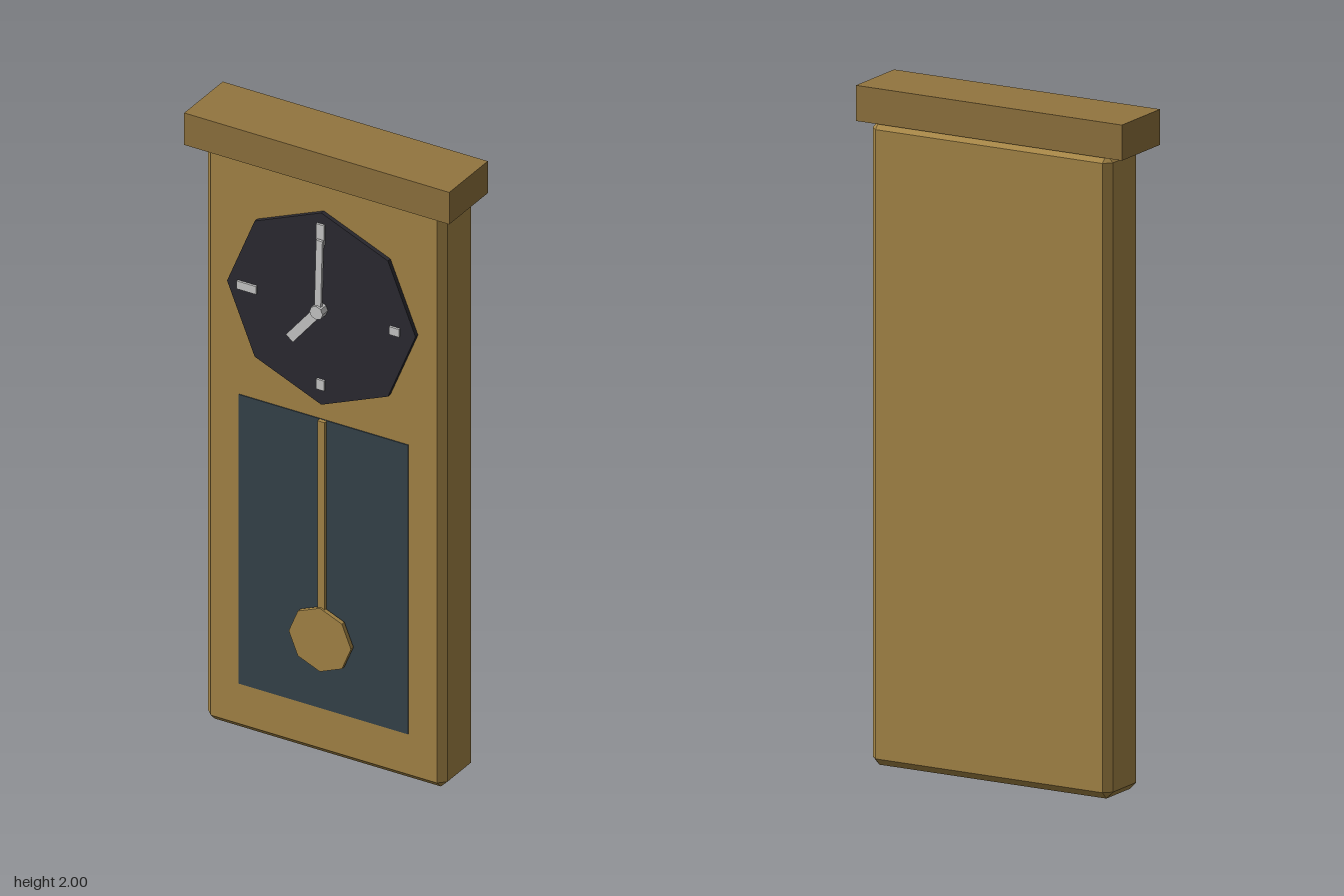
import * as THREE from 'three';

const mat = (color, side = THREE.FrontSide) =>
  new THREE.MeshStandardMaterial({ color, side, flatShading: true });

function add(parent, name, geometry, material, x, y, z) {
  const mesh = new THREE.Mesh(geometry, material);
  mesh.name = name;
  mesh.position.set(x, y, z);
  parent.add(mesh);
  return mesh;
}

// Box given by its limits on each axis
function slab(parent, name, material, [x0, x1], [y0, y1], [z0, z1]) {
  return add(parent, name, new THREE.BoxGeometry(x1 - x0, y1 - y0, z1 - z0), material,
    (x0 + x1) / 2, (y0 + y1) / 2, (z0 + z1) / 2);
}

// Eight-sided disc facing +z, with a corner pointing up
function disc(parent, name, material, radius, y, z0, z1) {
  const geometry = new THREE.CylinderGeometry(radius, radius, z1 - z0, 8).rotateX(Math.PI / 2);
  return add(parent, name, geometry, material, 0, y, (z0 + z1) / 2);
}

// Chamfered shell, open at the bottom and top
function caseGeometry(w, h, d, c) {
  const ring = (y, cut) => {
    const X = w / 2, Z = d / 2, x = X - c, z = Z - c;
    const a = cut ? x : X, b = cut ? z : Z;
    return [[x, b], [a, z], [a, -z], [x, -b], [-x, -b], [-a, -z], [-a, z], [-x, b]]
      .map(([px, pz]) => [px, y, pz]);
  };
  const rings = [ring(0, true), ring(c, false), ring(h - c, false), ring(h, true)];
  const positions = [];
  for (let r = 0; r < 3; r++) {
    for (let i = 0; i < 8; i++) {
      const j = (i + 1) % 8;
      const [p, q, s, t] = [rings[r][i], rings[r][j], rings[r + 1][j], rings[r + 1][i]];
      // The end rings have doubled corners, which leave one triangle there
      const corner = i % 2 === 0;
      if (!(corner && r === 0)) positions.push(...p, ...q, ...s);
      else positions.push(...p, ...s, ...t);
      if (!corner || r === 1) positions.push(...p, ...s, ...t);
    }
  }
  const geometry = new THREE.BufferGeometry();
  geometry.setAttribute('position', new THREE.Float32BufferAttribute(positions, 3));
  geometry.computeVertexNormals();
  return geometry;
}

export function createModel() {
  const clock = new THREE.Group();
  clock.name = 'pendulumWallClock';
  const wood = mat(0xa88848, THREE.DoubleSide);
  const darkWood = mat(0x92753f);
  const brass = mat(0xa88848);
  const black = mat(0x2c2b32);
  const glass = mat(0x36444c);
  const silver = mat(0xcccccc);

  // Case and top
  add(clock, 'case', caseGeometry(0.8, 1.9, 0.173, 0.022), wood, 0, 0, -0.0215);
  slab(clock, 'cornice', darkWood, [-0.443, 0.443], [1.895, 2], [-0.108, 0.104]);

  // Dial and hour marks
  const dialY = 1.475;
  const face = new THREE.Group();
  face.name = 'clockFace';
  clock.add(face);
  disc(face, 'dial', black, 0.315, dialY, 0.06, 0.079);
  [0.065, 0.033, 0.033, 0.065].forEach((length, i) => {
    const angle = Math.PI / 2 - i * Math.PI / 2;
    const mark = add(face, 'hourMark', new THREE.BoxGeometry(length, 0.026, 0.012), silver,
      Math.cos(angle) * 0.247, dialY + Math.sin(angle) * 0.247, 0.08);
    mark.rotation.z = angle;
  });

  // Hands, turned about the hub
  const hand = (name, length, width, z, dx, dy) => {
    const geometry = new THREE.BoxGeometry(width, length, 0.009).translate(0, length / 2, 0);
    add(face, name, geometry, silver, 0, dialY, z).rotation.z = Math.atan2(-dx, dy);
  };
  hand('hourHand', 0.155, 0.03, 0.088, -0.095, -0.115);
  hand('minuteHand', 0.235, 0.021, 0.096, 0.006, 0.235);
  disc(face, 'hub', silver, 0.022, dialY, 0.079, 0.108);

  // Window and pendulum
  slab(clock, 'window', glass, [-0.283, 0.283], [0.155, 1.105], [0.06, 0.068]);
  const pendulum = new THREE.Group();
  pendulum.name = 'pendulum';
  clock.add(pendulum);
  slab(pendulum, 'rod', brass, [-0.012, 0.012], [0.393, 1.105], [0.069, 0.081]);
  disc(pendulum, 'bob', brass, 0.104, 0.391, 0.073, 0.087);
  return clock;
}
